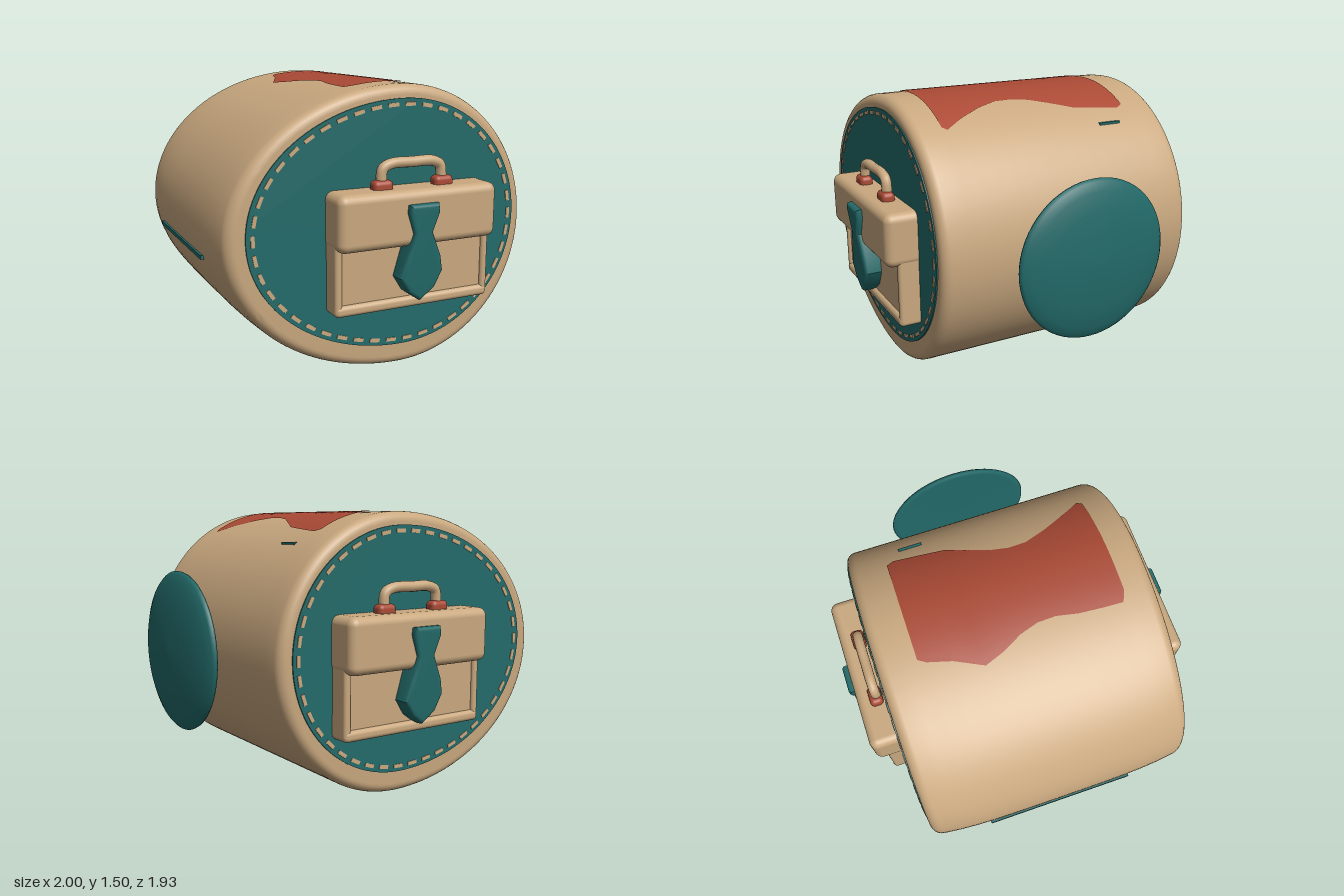
import * as THREE from 'three';
import { toCreasedNormals } from 'three/addons/utils/BufferGeometryUtils.js';
import { RoundedBoxGeometry } from 'three/addons/geometries/RoundedBoxGeometry.js';

const material = (name, color) => {
  const m = new THREE.MeshStandardMaterial({ color });
  m.name = name;
  return m;
};

// Egg-like oval: a wide half-ellipse towards -x and a shorter one towards +x
function oval(left, right, half, cy, n = 128) {
  const pts = [];
  for (let i = 0; i < n; i++) {
    const t = (i / n) * Math.PI * 2;
    const c = Math.cos(t);
    pts.push(new THREE.Vector2(c * (c < 0 ? left : right), cy + half * Math.sin(t)));
  }
  return pts;
}

export function createModel() {
  const tan = material('tan', 0xc9a87f);
  const teal = material('teal', 0x226a69);
  const red = material('brick red', 0xaa4a35);
  const model = new THREE.Group();
  model.name = 'model';

  const add = (parent, name, geometry, mat, x = 0, y = 0, z = 0) => {
    const mesh = new THREE.Mesh(geometry, mat);
    mesh.name = name;
    mesh.position.set(x, y, z);
    parent.add(mesh);
    return mesh;
  };
  // Rounded box given by its limits
  const block = (parent, name, mat, x0, x1, y0, y1, z0, z1, r) =>
    add(parent, name, new RoundedBoxGeometry(x1 - x0, y1 - y0, z1 - z0, 4, r), mat,
      (x0 + x1) / 2, (y0 + y1) / 2, (z0 + z1) / 2);

  // Body: oval drum with rounded rims, drawn in slightly at the ends of the -x side
  const bodyGeo = new THREE.ExtrudeGeometry(new THREE.Shape(oval(1, 0.75, 0.75, 0.75)), {
    depth: 1.39, steps: 14, bevelEnabled: true, bevelThickness: 0.055,
    bevelSize: 0.05, bevelOffset: -0.05, bevelSegments: 6,
  });
  bodyGeo.translate(0, 0, -0.695);
  const p = bodyGeo.attributes.position;
  for (let i = 0; i < p.count; i++) {
    const x = p.getX(i);
    if (x < 0) p.setX(i, x * (1 - 0.035 * Math.pow(p.getZ(i) / 0.75, 4)));
  }
  add(model, 'body', toCreasedNormals(bodyGeo, 0.6), tan);

  // End panels with a ring of dashed stitches
  const panelGeo = new THREE.ExtrudeGeometry(new THREE.Shape(oval(0.87, 0.68, 0.655, 0.775)),
    { depth: 0.009, bevelEnabled: false });
  const stitchLine = new THREE.CatmullRomCurve3(
    oval(0.835, 0.65, 0.625, 0.775, 48).map((v) => new THREE.Vector3(v.x, v.y, 0)), true);
  const stitchGeo = new THREE.BoxGeometry(0.058, 0.02, 0.006);
  const stitchCount = 44;
  for (const side of [1, -1]) {
    const end = new THREE.Group();
    end.name = side > 0 ? 'frontPanel' : 'backPanel';
    model.add(end);
    add(end, 'panel', panelGeo, teal, 0, 0, side > 0 ? 0.748 : -0.757);
    for (let i = 0; i < stitchCount; i++) {
      const at = stitchLine.getPointAt(i / stitchCount);
      const dir = stitchLine.getTangentAt(i / stitchCount);
      add(end, 'stitch', stitchGeo, tan, at.x, at.y, side * 0.758).rotation.z = Math.atan2(dir.y, dir.x);
    }
  }

  // Tie: bevelled outline, leaning outwards towards the knot
  const tiePoints = [[-0.08, 0.92], [-0.085, 0.88], [-0.05, 0.77], [-0.09, 0.64], [-0.12, 0.54], [-0.07, 0.46],
    [0, 0.41], [0.08, 0.47], [0.125, 0.56], [0.11, 0.64], [0.055, 0.77], [0.09, 0.87], [0.085, 0.92]];
  const tieGeo = new THREE.ExtrudeGeometry(
    new THREE.Shape(tiePoints.map(([x, y]) => new THREE.Vector2(x, y))), {
      depth: 0.08, bevelEnabled: true, bevelThickness: 0.02, bevelSize: 0.02, bevelOffset: -0.02, bevelSegments: 4,
    });
  const tp = tieGeo.attributes.position;
  for (let i = 0; i < tp.count; i++) tp.setZ(i, tp.getZ(i) + 0.83 + (tp.getY(i) - 0.4) * 0.07);
  const tieSmooth = toCreasedNormals(tieGeo, 0.6);

  // Handle: rounded arch
  const handleCurve = new THREE.CatmullRomCurve3([
    [-0.175, 0.97], [-0.175, 1.03], [-0.165, 1.09], [-0.12, 1.112], [0, 1.114],
    [0.12, 1.112], [0.165, 1.09], [0.175, 1.03], [0.175, 0.97],
  ].map(([x, y]) => new THREE.Vector3(x, y, 0.815)));
  const handleGeo = new THREE.TubeGeometry(handleCurve, 48, 0.028, 12);

  // Briefcase, once on each end
  for (const side of [1, -1]) {
    const bag = new THREE.Group();
    bag.name = side > 0 ? 'frontBriefcase' : 'backBriefcase';
    bag.rotation.y = side > 0 ? 0 : Math.PI;
    model.add(bag);
    block(bag, 'case', tan, -0.445, 0.445, 0.37, 0.98, 0.7, 0.85, 0.03);
    block(bag, 'caseBottomRim', tan, -0.45, 0.45, 0.36, 0.42, 0.72, 0.872, 0.025);
    for (const s of [1, -1]) {
      block(bag, 'caseSideRim', tan, s * 0.43 - 0.02, s * 0.43 + 0.02, 0.37, 0.75, 0.72, 0.868, 0.018);
      block(bag, 'handleMount', red, s * 0.175 - 0.055, s * 0.175 + 0.055, 0.96, 1.035, 0.785, 0.858, 0.025);
    }
    block(bag, 'flap', tan, -0.455, 0.455, 0.7, 0.99, 0.72, 0.93, 0.045);
    add(bag, 'handle', handleGeo, tan);
    add(bag, 'tie', tieSmooth, teal);
  }

  // Red patch lying on the top of the body: rows of [z, left x, right x]
  const rows = [[-0.54, -0.22, 0.37], [-0.5, -0.245, 0.39], [-0.37, -0.28, 0.375], [-0.22, -0.35, 0.355],
    [-0.12, -0.315, 0.31], [0, -0.255, 0.255], [0.1, -0.225, 0.232], [0.2, -0.222, 0.235], [0.32, -0.245, 0.28],
    [0.45, -0.255, 0.345], [0.56, -0.26, 0.41], [0.585, -0.2, 0.39]];
  const cols = 24;
  const verts = [];
  const index = [];
  rows.forEach(([z, x0, x1], r) => {
    for (let c = 0; c <= cols; c++) {
      const x = x0 + ((x1 - x0) * c) / cols;
      const u = x / (x < 0 ? 1 : 0.75);
      verts.push(x, 0.755 + 0.75 * Math.sqrt(1 - u * u), z);
      if (r && c) {
        const d = r * (cols + 1) + c;
        const b = d - cols - 1;
        index.push(b - 1, d - 1, b, b, d - 1, d);
      }
    }
  });
  const patchGeo = new THREE.BufferGeometry();
  patchGeo.setAttribute('position', new THREE.Float32BufferAttribute(verts, 3));
  patchGeo.setIndex(index);
  patchGeo.computeVertexNormals();
  add(model, 'topPatch', patchGeo, red);

  // Side disc: shallow dome standing off the +x side
  const dome = [[0, 0], [0.4, -0.008], [0.425, -0.005], [0.43, 0.008], [0.415, 0.022], [0.37, 0.042],
    [0.28, 0.062], [0.15, 0.077], [0, 0.082]].map(([r, h]) => new THREE.Vector2(r, h));
  const disc = add(model, 'sideDisc', new THREE.LatheGeometry(dome, 64), teal, 0.918, 0.755, 0);
  disc.rotation.z = -Math.PI / 2;

  // Small teal slivers on the body surface
  add(model, 'sideSeam', new THREE.BoxGeometry(0.03, 0.022, 0.84), teal, -0.985, 0.63, 0);
  add(model, 'topSliver', new THREE.BoxGeometry(0.015, 0.015, 0.13), teal, 0.472, 1.332, -0.39);

  return model;
}
